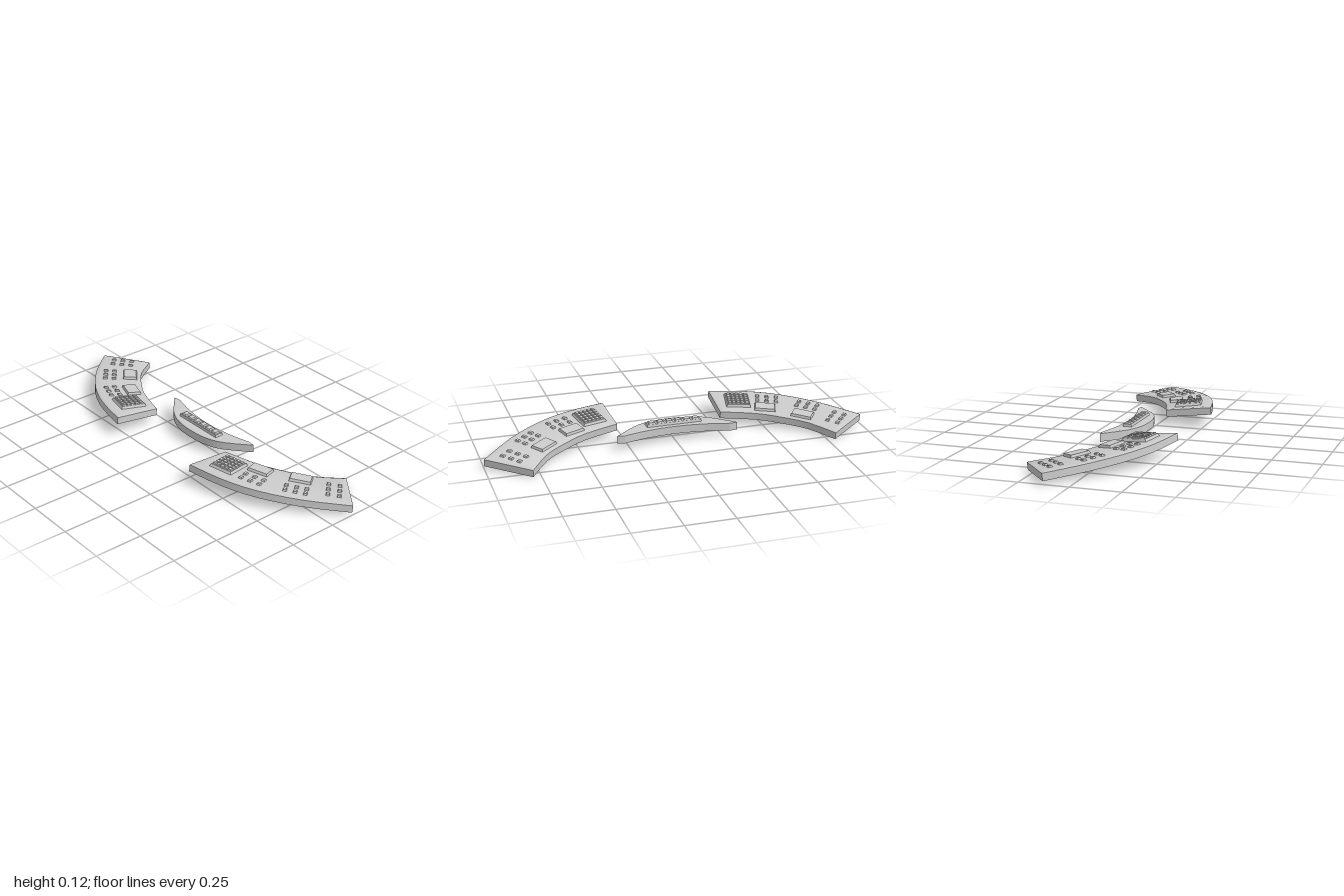
import * as THREE from 'three';
import { toCreasedNormals } from 'three/addons/utils/BufferGeometryUtils.js';

const material = new THREE.MeshStandardMaterial({ color: 0xcccccc });

function addMesh(parent, geometry, name) {
  const mesh = new THREE.Mesh(geometry, material);
  mesh.name = name;
  parent.add(mesh);
  return mesh;
}

// Smooth run of plan points (x, z) through a few control points
function curve(points, count) {
  return new THREE.SplineCurve(points.map(([x, z]) => new THREE.Vector2(x, z))).getPoints(count);
}

// Moves every corner of a counter-clockwise outline inwards by d
function inset(outline, d) {
  const n = outline.length;
  return outline.map((p, i) => {
    const a = p.clone().sub(outline[(i + n - 1) % n]).normalize();
    const b = outline[(i + 1) % n].clone().sub(p).normalize();
    const m = new THREE.Vector2(-a.y - b.y, a.x + b.x).normalize();
    const cos = Math.max(0.4, m.x * -a.y + m.y * a.x);
    return p.clone().addScaledVector(m, d / cos);
  });
}

// Slab with a chamfered top edge from a plan outline
function slab(outline, height, chamferWidth, chamferHeight) {
  const base = THREE.ShapeUtils.area(outline) < 0 ? outline.slice().reverse() : outline;
  const n = base.length;
  const rings = [[base, 0], [base, height - chamferHeight], [inset(base, chamferWidth), height]];
  const positions = [], index = [];
  for (const [ring, y] of rings) for (const p of ring) positions.push(p.x, y, p.y);
  for (let r = 0; r < 2; r++) {
    for (let i = 0; i < n; i++) {
      const a = r * n + i, b = r * n + (i + 1) % n;
      index.push(a, a + n, b, b, a + n, b + n);
    }
  }
  for (const [a, b, c] of THREE.ShapeUtils.triangulateShape(base, [])) {
    index.push(a, b, c, 2 * n + a, 2 * n + c, 2 * n + b);
  }
  const g = new THREE.BufferGeometry();
  g.setAttribute('position', new THREE.Float32BufferAttribute(positions, 3));
  g.setIndex(index);
  return toCreasedNormals(g, 0.35);
}

// Box standing on y = 0 whose top is drawn in by t on each side
function block(w, h, d, t) {
  const g = new THREE.BoxGeometry(w, h, d).translate(0, h / 2, 0);
  const p = g.attributes.position;
  for (let i = 0; i < p.count; i++) {
    if (p.getY(i) > h / 2) {
      p.setX(i, p.getX(i) - Math.sign(p.getX(i)) * t);
      p.setZ(i, p.getZ(i) - Math.sign(p.getZ(i)) * t);
    }
  }
  return toCreasedNormals(g, 0.2);
}

// Curved, tilted side console; s = 1 for the front one, -1 for the rear one
function sideConsole(s) {
  const console = new THREE.Group();
  console.name = s > 0 ? 'frontConsole' : 'rearConsole';
  const top = 0.042;
  const outer = curve([[-0.295, 0.295], [-0.25, 0.49], [-0.175, 0.66], [-0.045, 0.835], [0.13, 1.0]], 12);
  const inner = curve([[0.295, 0.79], [0.16, 0.69], [0.073, 0.575], [0.005, 0.455], [-0.05, 0.28]], 12);
  const outline = [...outer, ...inner].map((p) => new THREE.Vector2(p.x, p.y * s));
  addMesh(console, slab(outline, top, 0.014, 0.005), 'consoleBody');

  // A panel area is placed by its centre and its turn along the arc
  const area = (name, x, z, degrees) => {
    const g = new THREE.Group();
    g.name = name;
    g.position.set(x, top, z * s);
    g.rotation.y = s * THREE.MathUtils.degToRad(degrees);
    console.add(g);
    return g;
  };

  // Keypad with a five by five grid of keys
  const pad = area('keypad', -0.14, 0.405, 13);
  addMesh(pad, block(0.142, 0.013, 0.13, 0.006), 'keypadBase');
  for (let i = -2; i <= 2; i++) {
    for (let j = -2; j <= 2; j++) {
      addMesh(pad, block(0.022, 0.007, 0.02, 0.002), 'key').position.set(i * 0.0245, 0.013, j * 0.0225);
    }
  }

  // Two display blocks near the inner edge
  for (const [x, z, turn] of [[-0.035, 0.523, 20], [0.08, 0.69, 37]]) {
    addMesh(area('display', x, z, turn), block(0.075, 0.013, 0.11, 0.004), 'displayBlock');
  }

  // Button clusters: centre, turn, columns across, rows along, spacing
  const clusters = [
    [-0.127, 0.567, 20, 2, 3, 0.047, 0.05],
    [-0.012, 0.752, 38, 2, 3, 0.047, 0.05],
    [0.147, 0.852, 43, 3, 2, 0.05, 0.055],
  ];
  for (const [x, z, turn, columns, rows, dx, dz] of clusters) {
    const cluster = area('buttonCluster', x, z, turn);
    for (let i = 0; i < columns; i++) {
      for (let j = 0; j < rows; j++) {
        addMesh(cluster, block(0.024, 0.008, 0.02, 0.003), 'button')
          .position.set((i - (columns - 1) / 2) * dx, 0, s * (j - (rows - 1) / 2) * dz);
      }
    }
  }

  // Tilt towards the inner edge and the far end
  console.quaternion.setFromUnitVectors(
    new THREE.Vector3(0, 1, 0), new THREE.Vector3(0.111, 1, 0.0135 * s).normalize());
  console.position.y = 0.0462;
  return console;
}

// Flat crescent between the two side consoles
function centreConsole() {
  const console = new THREE.Group();
  console.name = 'centreConsole';
  const back = curve([[0.105, -0.32], [0, -0.195], [-0.038, -0.1], [-0.047, 0],
    [-0.038, 0.1], [0, 0.195], [0.105, 0.32]], 20);
  const front = curve([[0.11, 0.28], [0.08, 0.155], [0.066, 0], [0.08, -0.155], [0.11, -0.28]], 16);
  addMesh(console, slab([...back, ...front], 0.044, 0.005, 0.003), 'crescentBody');
  console.position.y = 0.041;

  // Raised bar with a row of six buttons
  const bar = addMesh(console, block(0.046, 0.013, 0.292, 0.003), 'buttonBar');
  bar.position.set(0.024, 0.044, 0);
  for (let i = 0; i < 6; i++) {
    addMesh(bar, block(0.036, 0.007, 0.036, 0.004), 'barButton').position.set(0, 0.013, (i - 2.5) * 0.047);
  }
  return console;
}

export function createModel() {
  const model = new THREE.Group();
  model.name = 'controlConsoles';
  model.add(sideConsole(1), sideConsole(-1), centreConsole());
  return model;
}
